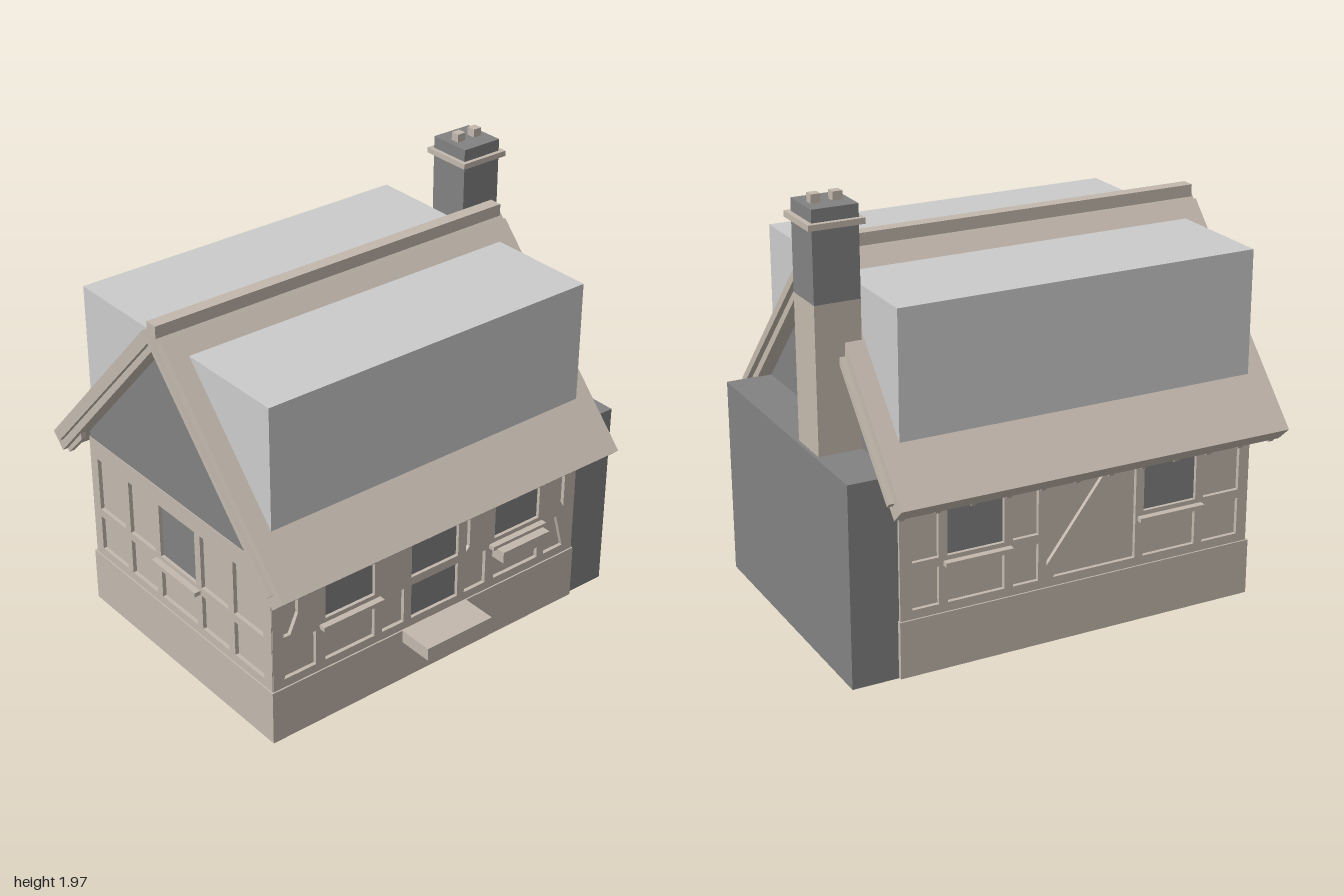
import * as THREE from 'three';

const beige = new THREE.MeshStandardMaterial({ color: 0xc3b8ad });
const dark = new THREE.MeshStandardMaterial({ color: 0x828282 });
const grey = new THREE.MeshStandardMaterial({ color: 0xcccccc });

function add(parent, name, geometry, material) {
  const mesh = new THREE.Mesh(geometry, material);
  mesh.name = name;
  parent.add(mesh);
  return mesh;
}

// Box given by its lower and upper limits on each axis
function box(parent, name, material, x0, x1, y0, y1, z0, z1) {
  const mesh = add(parent, name, new THREE.BoxGeometry(x1 - x0, y1 - y0, z1 - z0), material);
  mesh.position.set((x0 + x1) / 2, (y0 + y1) / 2, (z0 + z1) / 2);
  return mesh;
}

// [z, y] profile swept along x
function prism(parent, name, material, profile, x0, x1) {
  const shape = new THREE.Shape(profile.map(([z, y]) => new THREE.Vector2(-z, y)));
  const geometry = new THREE.ExtrudeGeometry(shape, { depth: x1 - x0, bevelEnabled: false });
  geometry.rotateY(Math.PI / 2).translate(x0, 0, 0);
  return add(parent, name, geometry, material);
}

const rect = (u0, u1, v0, v1) => [[u0, v0], [u1, v0], [u1, v1], [u0, v1]];
const LOW = [0.30, 0.47], HIGH = [0.51, 0.77];

// Timber frame with open bays, dark panes and sills; local +z points outward
function timberWall(parent, name, u0, u1, bays, panes, sills) {
  const wall = new THREE.Group();
  wall.name = name;
  const toVec = (p) => p.map(([u, v]) => new THREE.Vector2(u, v));
  const shape = new THREE.Shape(toVec(rect(u0, u1, 0.25, 0.86)));
  [...bays, ...panes].forEach((b) => shape.holes.push(new THREE.Path(toVec(b))));
  add(wall, 'timberFrame', new THREE.ExtrudeGeometry(shape, { depth: 0.02, bevelEnabled: false }), beige);
  panes.forEach((p) => box(wall, 'pane', dark, p[0][0], p[1][0], p[0][1], p[2][1], -0.01, 0.004));
  sills.forEach(([a, b]) => box(wall, 'sill', beige, a, b, 0.47, 0.49, 0, 0.05));
  parent.add(wall);
  return wall;
}

export function createModel() {
  const house = new THREE.Group();
  house.name = 'cottage';

  // Base, wall core and side extension
  box(house, 'floor', dark, -0.9, 0.77, 0, 0.01, -0.655, 0.655);
  box(house, 'plinth', beige, -0.91, 0.78, 0.004, 0.26, -0.665, 0.665);
  box(house, 'wallCore', beige, -0.885, 0.77, 0.25, 0.86, -0.64, 0.64);
  box(house, 'sideExtension', dark, 0.775, 0.988, 0, 0.9, -0.645, 0.645);
  box(house, 'doorStep', beige, -0.22, 0.14, 0.2, 0.26, 0.65, 0.83);

  // Front wall with the door in the middle
  const front = timberWall(house, 'frontWall', -0.9, 0.775, [
    [[-0.845, 0.3], [-0.68, 0.3], [-0.68, 0.47], [-0.785, 0.47]],
    rect(-0.63, -0.37, ...LOW), rect(-0.33, -0.21, ...LOW),
    rect(0.13, 0.25, ...LOW), rect(0.3, 0.56, ...LOW),
    [[0.6, 0.3], [0.715, 0.3], [0.67, 0.47], [0.6, 0.47]],
    [[-0.845, 0.51], [-0.81, 0.51], [-0.77, 0.6], [-0.77, 0.77], [-0.845, 0.77]],
    [[-0.33, 0.74], [-0.33, 0.77], [-0.21, 0.77], [-0.21, 0.74]],
    [[0.135, 0.51], [0.155, 0.53], [0.155, 0.74], [0.25, 0.74], [0.25, 0.77], [0.135, 0.77]],
    [[0.71, 0.51], [0.71, 0.77], [0.61, 0.77], [0.61, 0.74], [0.69, 0.74], [0.69, 0.54]],
  ], [
    rect(-0.63, -0.37, ...HIGH), rect(0.3, 0.56, ...HIGH),
    rect(-0.17, 0.09, 0.3, 0.47), rect(-0.17, 0.09, ...HIGH),
  ], [[-0.66, -0.34], [0.27, 0.58]]);
  front.position.z = 0.638;
  box(house, 'planter', beige, 0.29, 0.56, 0.42, 0.475, 0.65, 0.73);

  // Back wall with a diagonal brace in the middle bay
  const back = timberWall(house, 'backWall', -0.775, 0.9, [
    rect(-0.72, -0.6, ...LOW), rect(-0.56, -0.3, ...LOW), rect(-0.26, -0.14, ...LOW),
    rect(0.37, 0.63, ...LOW), rect(0.67, 0.85, ...LOW),
    rect(-0.72, -0.6, ...HIGH), rect(-0.26, -0.14, ...HIGH), rect(0.67, 0.85, ...HIGH),
    [[-0.1, 0.36], [0.21, 0.77], [-0.1, 0.77]],
    [[-0.07, 0.3], [0.33, 0.3], [0.33, 0.77], [0.28, 0.77]],
  ], [rect(-0.56, -0.3, ...HIGH), rect(0.37, 0.63, ...HIGH)], [[-0.58, -0.27], [0.34, 0.66]]);
  back.rotation.y = Math.PI;
  back.position.z = -0.638;

  // Left wall
  const sideBays = [rect(-0.13, 0.13, ...LOW)];
  for (const [a, b] of [[0.17, 0.36], [0.4, 0.6]])
    for (const row of [LOW, HIGH]) sideBays.push(rect(a, b, ...row), rect(-b, -a, ...row));
  const left = timberWall(house, 'endWall', -0.655, 0.655, sideBays,
    [rect(-0.13, 0.13, ...HIGH)], [[-0.16, 0.16]]);
  left.rotation.y = -Math.PI / 2;
  left.position.x = -0.883;

  // Gable core filling the space under the roof
  prism(house, 'gable', dark, [[-0.65, 0.84], [0.65, 0.84], [0.65, 0.9], [0, 1.6], [-0.65, 0.9]], -0.9, 0.78);

  // Roof slopes, verge strips, roof blocks and rafter tails, mirrored front to back
  for (const s of [1, -1]) {
    const flip = (p) => p.map(([z, y]) => [z * s, y]);
    prism(house, 'roofSlope', beige,
      flip([[0.065, 1.655], [0.835, 0.83], [0.765, 0.765], [0, 1.59]]), -0.975, 0.845);
    prism(house, 'vergeStrip', beige,
      flip([[0, 1.66], [0.775, 0.845], [0.755, 0.825], [0, 1.63]]), -0.995, 0.87);
    const z = [0.12 * s, 0.645 * s].sort((a, b) => a - b);
    box(house, 'roofBlock', grey, -0.885, 0.76, 1.035, 1.59, ...z);
    for (let i = 0; i < 12; i++) {
      const x = -0.94 + i * 0.159;
      prism(house, 'rafterTail', beige,
        flip([[0.64, 0.9], [0.77, 0.77], [0.752, 0.752], [0.64, 0.868]]), x - 0.012, x + 0.012);
    }
  }
  box(house, 'ridgeCap', beige, -0.975, 0.845, 1.655, 1.71, -0.03, 0.03);

  // Chimney
  box(house, 'chimneyBase', beige, 0.771, 0.972, 0.88, 1.54, -0.333, -0.13);
  box(house, 'chimneyStack', dark, 0.771, 0.972, 1.54, 1.93, -0.333, -0.13);
  box(house, 'chimneyBand', beige, 0.752, 0.995, 1.85, 1.875, -0.355, -0.11);
  for (const x of [0.825, 0.918])
    box(house, 'chimneyPot', beige, x - 0.021, x + 0.021, 1.92, 1.967, -0.255, -0.213);

  return house;
}
